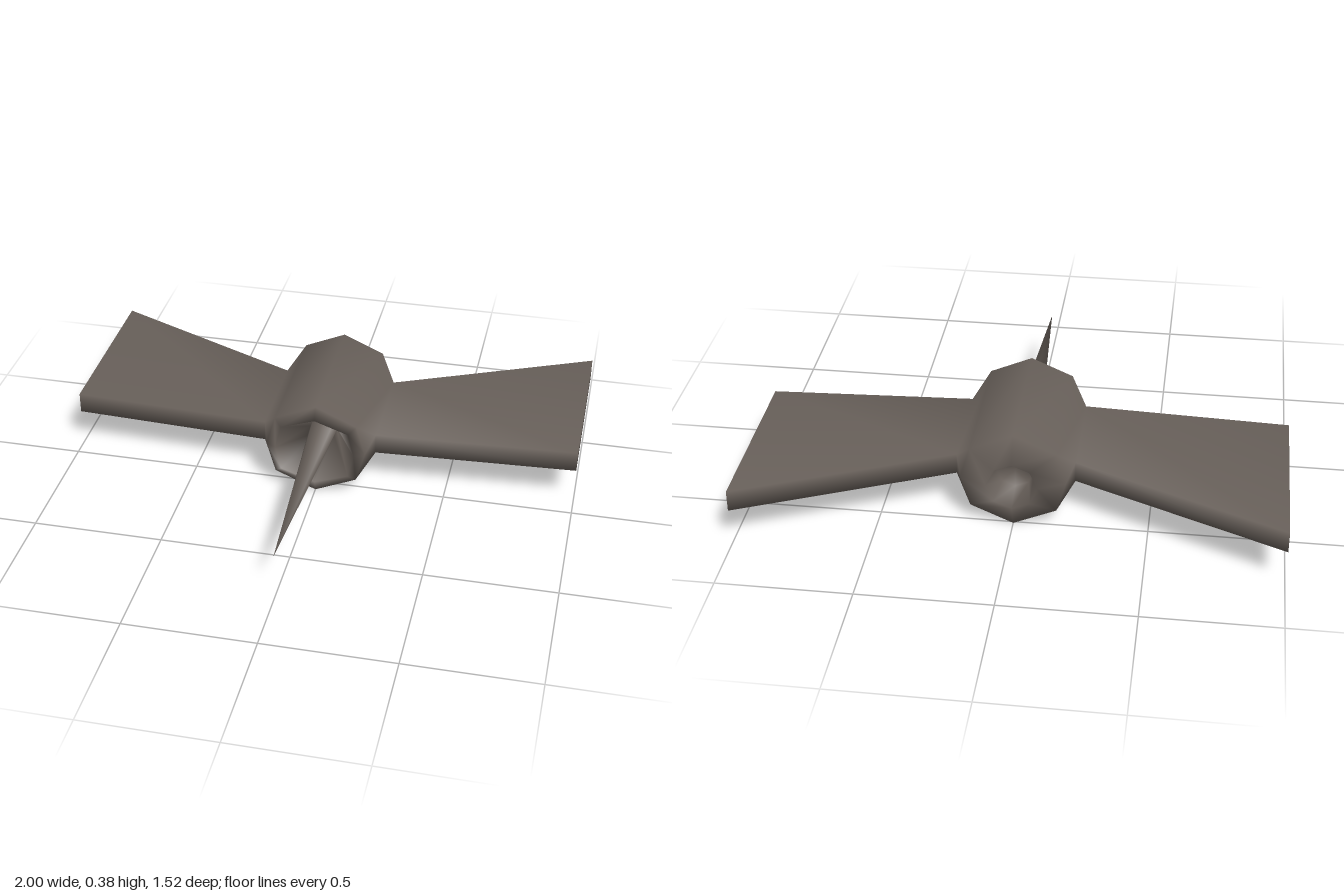
import * as THREE from 'three';

const CY = 0.193; // height of the body axis

export function createModel() {
  const group = new THREE.Group();
  const darkMetal = new THREE.MeshStandardMaterial({ color: 0x68605a });
  darkMetal.name = 'darkMetal';

  const positions = [], index = [];
  const vert = (x, y, z) => positions.push(x, y, z) / 3 - 1;
  const face = (corners, flip) => {
    const c = flip ? [...corners].reverse() : corners;
    for (let i = 1; i < c.length - 1; i++) index.push(c[0], c[i], c[i + 1]);
  };

  // Eight-sided cross-section: side half-width, half-height, diagonal corner
  const ring = (z, rx, ry, dx = rx * 0.82, dy = ry * 0.66) => {
    const pts = [[rx, 0], [dx, dy], [0, ry], [-dx, dy], [-rx, 0], [-dx, -dy], [0, -ry], [dx, -dy]];
    return pts.map(([x, y]) => vert(x, CY + y, z));
  };
  const loft = (a, b, sides) => {
    for (const k of sides) {
      const n = (k + 1) % 8;
      face([a[k], a[n], b[n], b[k]]);
    }
  };
  const all = [0, 1, 2, 3, 4, 5, 6, 7];

  // Body from the rear nozzle floor to the front intake
  const nozzleFloor = vert(0, CY, -0.44);
  const nozzle = ring(-0.44, 0.07, 0.07, 0.05, 0.05);
  const rearLip = ring(-0.555, 0.095, 0.094, 0.067, 0.067);
  const rearShoulder = ring(-0.508, 0.195, 0.192, 0.16, 0.122);
  const frontShoulder = ring(0.055, 0.195, 0.192, 0.16, 0.122);
  const frontLip = ring(0.076, 0.155, 0.142, 0.132, 0.096);
  const spikeBase = ring(-0.1, 0.054, 0.049, 0.042, 0.034);
  const spikeTip = vert(0, CY, 0.755);

  for (const k of all) face([nozzleFloor, nozzle[(k + 1) % 8], nozzle[k]]);
  loft(nozzle, rearLip, all);
  loft(rearLip, rearShoulder, all);
  loft(rearShoulder, frontShoulder, [1, 2, 5, 6]); // the wings close the flanks
  loft(frontShoulder, frontLip, all);
  loft(frontLip, spikeBase, all);
  for (const k of all) face([spikeBase[k], spikeBase[(k + 1) % 8], spikeTip]);

  // Flanks and swept wings, mirrored
  for (const s of [1, -1]) {
    const flip = s < 0;
    const [lo, mid, up] = flip ? [5, 4, 3] : [7, 0, 1];
    const F = frontShoulder, B = rearShoulder;
    const section = (x, front, back) => [
      vert(s * x, CY + 0.041, back), vert(s * x, CY + 0.041, front),
      vert(s * x, CY - 0.041, front), vert(s * x, CY - 0.041, back),
    ];
    const root = section(0.222, -0.03, -0.425);
    const tip = section(1, -0.07, -0.77);
    const [BU, FU, FL, BL] = root;
    const faces = [
      [F[up], FU, BU, B[up]], [FL, F[lo], B[lo], BL],
      [F[up], F[mid], FU], [F[mid], FL, FU], [F[mid], F[lo], FL],
      [B[up], BU, B[mid]], [BU, BL, B[mid]], [BL, B[lo], B[mid]],
      tip,
    ];
    for (let i = 0; i < 4; i++) {
      const n = (i + 1) % 4;
      faces.push([root[i], root[n], tip[n], tip[i]]);
    }
    faces.forEach((f) => face(f, flip));
  }

  const geometry = new THREE.BufferGeometry();
  geometry.setAttribute('position', new THREE.Float32BufferAttribute(positions, 3));
  geometry.setIndex(index);
  geometry.computeVertexNormals();

  const hull = new THREE.Mesh(geometry, darkMetal);
  hull.name = 'wingedHull';
  group.add(hull);
  group.name = 'wingedCraft';
  return group;
}
